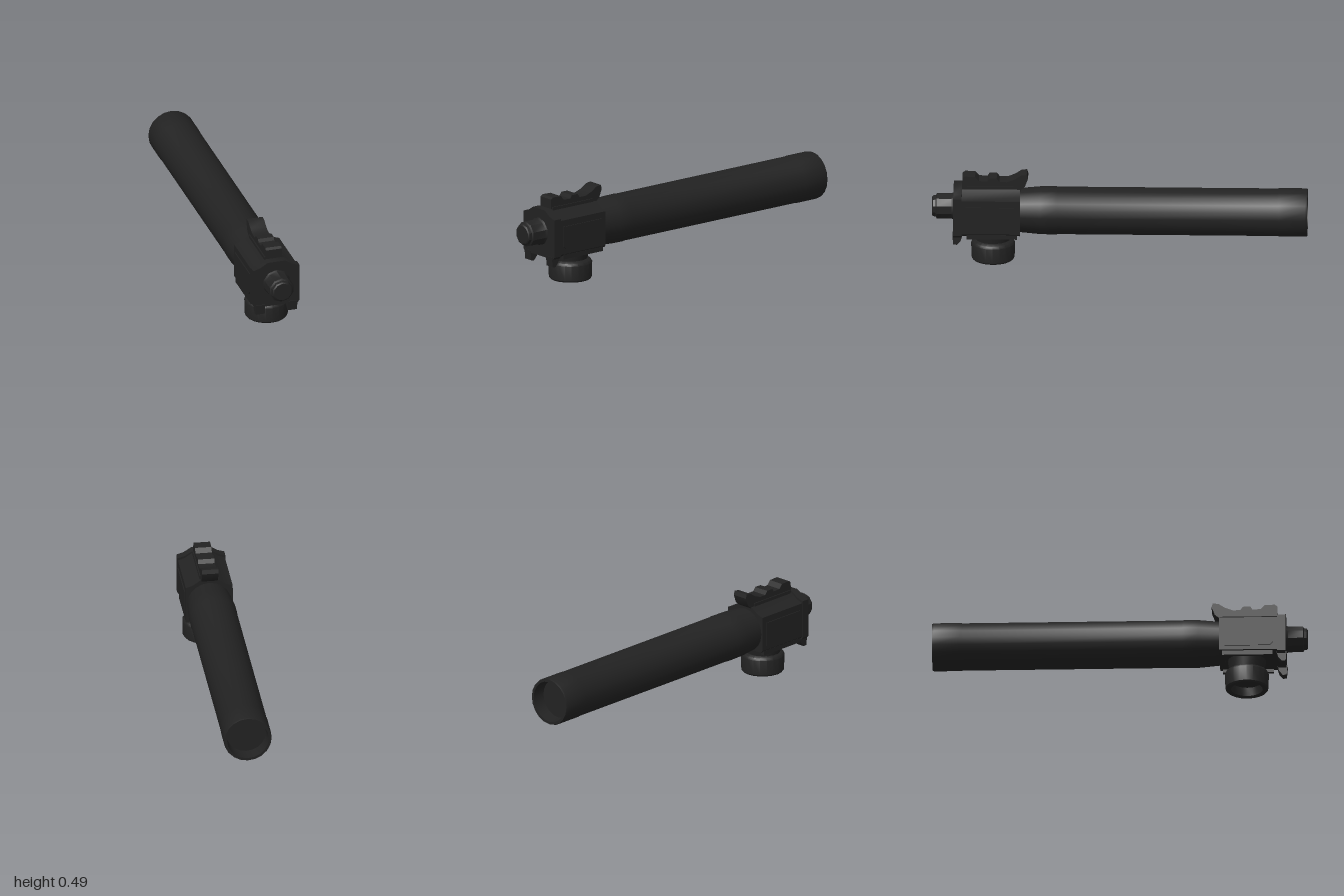
import * as THREE from 'three';
import { toCreasedNormals } from 'three/addons/utils/BufferGeometryUtils.js';

export function createModel() {
  const model = new THREE.Group();
  const black = new THREE.MeshStandardMaterial({ color: 0x222222 });
  black.name = 'matte black';

  const add = (name, geometry, x = 0, y = 0, z = 0) => {
    const mesh = new THREE.Mesh(toCreasedNormals(geometry, 0.6), black);
    mesh.name = name;
    mesh.position.set(x, y, z);
    model.add(mesh);
  };
  const lathe = (points, sides) =>
    new THREE.LatheGeometry(points.map(([r, h]) => new THREE.Vector2(r, h)), sides);
  const extrude = (points, depth) =>
    new THREE.ExtrudeGeometry(new THREE.Shape(points.map(([a, b]) => new THREE.Vector2(a, b))),
      { depth, bevelEnabled: false });
  // Side profile given as (z, y), extruded across x and centred
  const sideProfile = (points, width) =>
    extrude(points, width).translate(0, 0, -width / 2).rotateY(-Math.PI / 2);

  // Long tube with a recessed rear opening and a tapered front collar
  add('tube', lathe([
    [0, -0.93], [0.106, -0.93], [0.112, -1], [0.126, -1], [0.129, -0.99],
    [0.129, -0.85], [0.127, -0.84], [0.127, 0.33], [0.129, 0.34],
    [0.128, 0.42], [0.118, 0.53], [0.118, 0.56], [0, 0.56],
  ], 20).rotateX(Math.PI / 2), 0, 0.27, 0);

  // Housing with sloping shoulders
  const outline = (w, low, shoulder, top) => [
    [-w + 0.01, low], [w - 0.01, low], [w, low + 0.012], [w, shoulder],
    [0.09, shoulder + 0.012], [0.05, top], [-0.05, top], [-0.09, shoulder + 0.012],
    [-w, shoulder], [-w, low + 0.012],
  ];
  add('housing', extrude(outline(0.126, 0.165, 0.365, 0.405), 0.32), 0, 0, 0.53);
  add('frontPlate', extrude(outline(0.129, 0.157, 0.377, 0.415), 0.045), 0, 0, 0.84);

  for (const side of [-1, 1]) {
    // Hooked lugs below the front plate
    add('lug', sideProfile([
      [0.835, 0.17], [0.845, 0.135], [0.865, 0.112], [0.885, 0.115], [0.89, 0.17],
    ], 0.05), side * 0.09, 0, 0);
    // Shallow raised panels on the housing sides
    add('sidePanel', sideProfile([
      [0.56, 0.2], [0.8, 0.2], [0.82, 0.22], [0.82, 0.33], [0.56, 0.33],
    ], 0.008), side * 0.127, 0, 0);
    // Low rails along the bottom edges
    add('lowerRail', new THREE.BoxGeometry(0.02, 0.025, 0.27), side * 0.113, 0.16, 0.68);
  }

  // Stepped front button
  add('frontButton', lathe([
    [0, 0.87], [0.085, 0.87], [0.07, 0.895], [0.069, 0.975], [0.06, 0.98],
    [0.057, 0.995], [0.05, 1], [0, 1],
  ], 10).rotateX(Math.PI / 2), 0, 0.29, 0);

  // Top latch with front block, middle knob and raised rear thumb tab
  add('latch', sideProfile([
    [0.84, 0.395], [0.838, 0.465], [0.825, 0.475], [0.77, 0.473], [0.75, 0.45],
    [0.705, 0.448], [0.695, 0.465], [0.655, 0.465], [0.64, 0.445], [0.6, 0.445],
    [0.56, 0.46], [0.525, 0.483], [0.495, 0.487], [0.488, 0.465], [0.505, 0.42],
    [0.535, 0.395],
  ], 0.088));
  add('latchBase', new THREE.BoxGeometry(0.1, 0.025, 0.28), 0, 0.41, 0.69);

  // Neck and hollow knob underneath
  add('neck', new THREE.CylinderGeometry(0.105, 0.09, 0.09, 18), 0.005, 0.135, 0.675);
  add('bottomKnob', lathe([
    [0, 0.05], [0.08, 0.05], [0.085, 0.004], [0.109, 0], [0.115, 0.008],
    [0.117, 0.09], [0.11, 0.102], [0.09, 0.112], [0, 0.112],
  ], 20), 0.008, 0, 0.675);

  return model;
}
